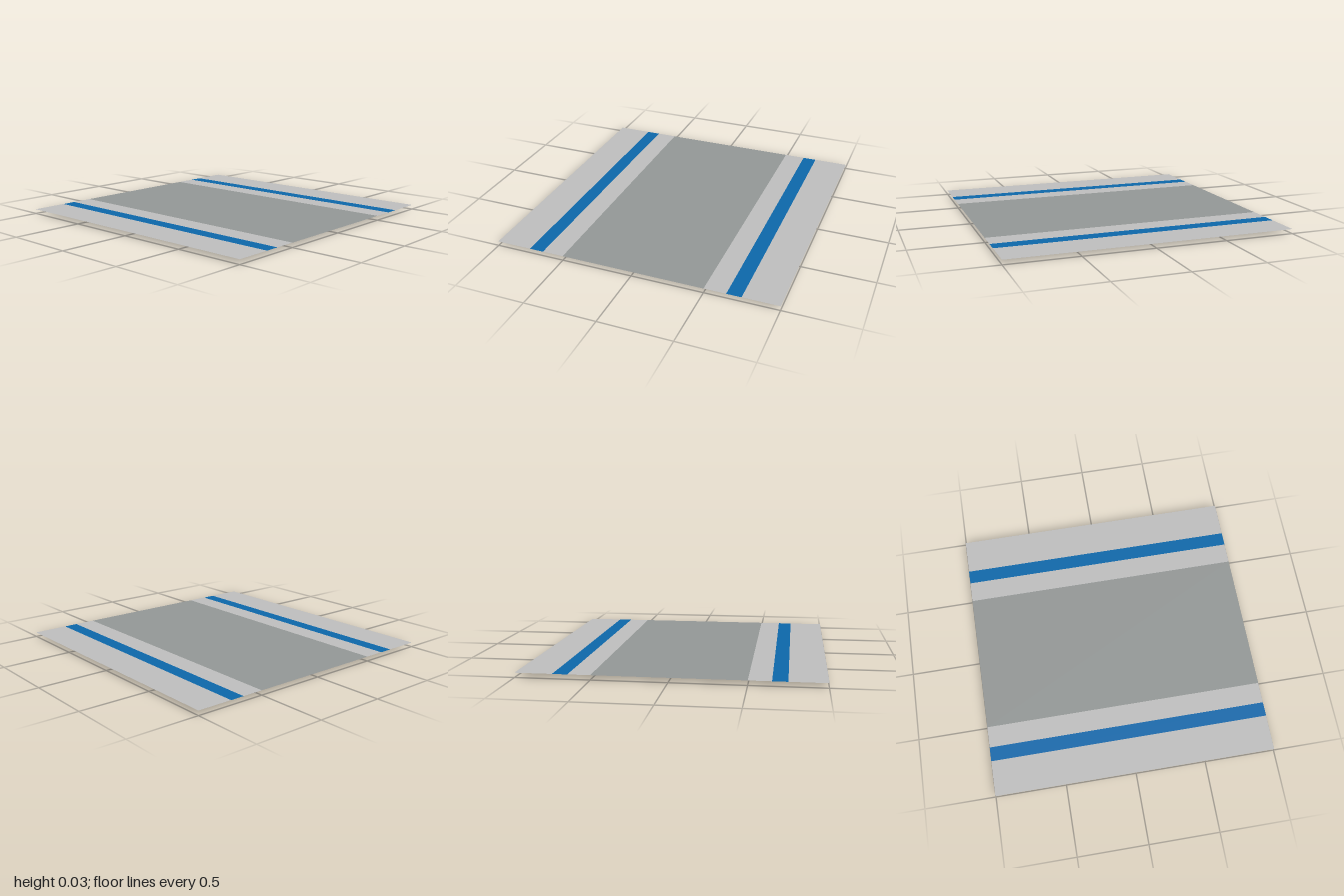
import * as THREE from 'three';

const SHEET_Y = 0.032, TRAY_Y = 0.01;

// Points of a rounded rectangle in the ground plane
function outline(hx, hz, r, steps = 8) {
  const pts = [];
  [[1, 1], [-1, 1], [-1, -1], [1, -1]].forEach(([sx, sz], corner) => {
    for (let i = 0; i <= steps; i++) {
      const a = (corner + i / steps) * Math.PI / 2;
      pts.push(new THREE.Vector2(
        sx * (hx - r) + r * Math.cos(a), sz * (hz - r) + r * Math.sin(a)));
    }
  });
  return pts;
}

// Sloped wall joining an upper and a lower outline
function wallGeometry(upper, lower, yUpper, yLower) {
  const pos = [], index = [], n = upper.length;
  for (let i = 0; i < n; i++) {
    pos.push(upper[i].x, yUpper, upper[i].y, lower[i].x, yLower, lower[i].y);
    const a = 2 * i, b = 2 * ((i + 1) % n);
    index.push(a, b, a + 1, b, b + 1, a + 1);
  }
  const geo = new THREE.BufferGeometry();
  geo.setAttribute('position', new THREE.Float32BufferAttribute(pos, 3));
  geo.setIndex(index);
  geo.computeVertexNormals();
  return geo;
}

export function createModel() {
  const model = new THREE.Group();
  const material = (name, color, side = THREE.FrontSide) => {
    const m = new THREE.MeshStandardMaterial({ color, side });
    m.name = name;
    return m;
  };
  const lightGrey = material('light grey', 0xc0c0c0, THREE.DoubleSide);
  const midGrey = material('mid grey', 0x959998, THREE.DoubleSide);
  const blue = material('blue', 0x0d69ac, THREE.DoubleSide);

  const add = (name, geo, mat, parent = model) => {
    const mesh = new THREE.Mesh(geo, mat);
    mesh.name = name;
    parent.add(mesh);
    return mesh;
  };

  // Flat sheet made of coloured bands, mirrored front to back
  const band = (name, z0, z1, mat) => {
    const geo = new THREE.PlaneGeometry(2, z1 - z0).rotateX(-Math.PI / 2);
    add(name, geo, mat).position.set(0, SHEET_Y, (z0 + z1) / 2);
  };
  band('centreBand', -0.5, 0.5, midGrey);
  for (const [name, z0, z1, mat] of [
    ['innerBand', 0.5, 0.65, lightGrey],
    ['stripe', 0.65, 0.75, blue],
    ['outerBand', 0.75, 1, lightGrey],
  ]) {
    band(name + 'Front', z0, z1, mat);
    band(name + 'Back', -z1, -z0, mat);
  }

  // Shallow tray under the sheet
  const tray = new THREE.Group();
  tray.name = 'tray';
  model.add(tray);
  const upper = outline(0.945, 0.425, 0.13);
  const lower = outline(0.915, 0.395, 0.1);
  add('trayWall', wallGeometry(upper, lower, SHEET_Y, TRAY_Y), lightGrey, tray);
  const floor = new THREE.ShapeGeometry(new THREE.Shape(lower)).rotateX(Math.PI / 2);
  add('trayFloor', floor, lightGrey, tray).position.y = TRAY_Y;

  // Four round feet with blue pads
  const footGeo = new THREE.CylinderGeometry(0.063, 0.058, TRAY_Y, 24);
  for (const x of [-0.78, 0.78]) {
    for (const z of [-0.255, 0.255]) {
      add('foot', footGeo, [lightGrey, lightGrey, blue]).position.set(x, TRAY_Y / 2, z);
    }
  }
  return model;
}
